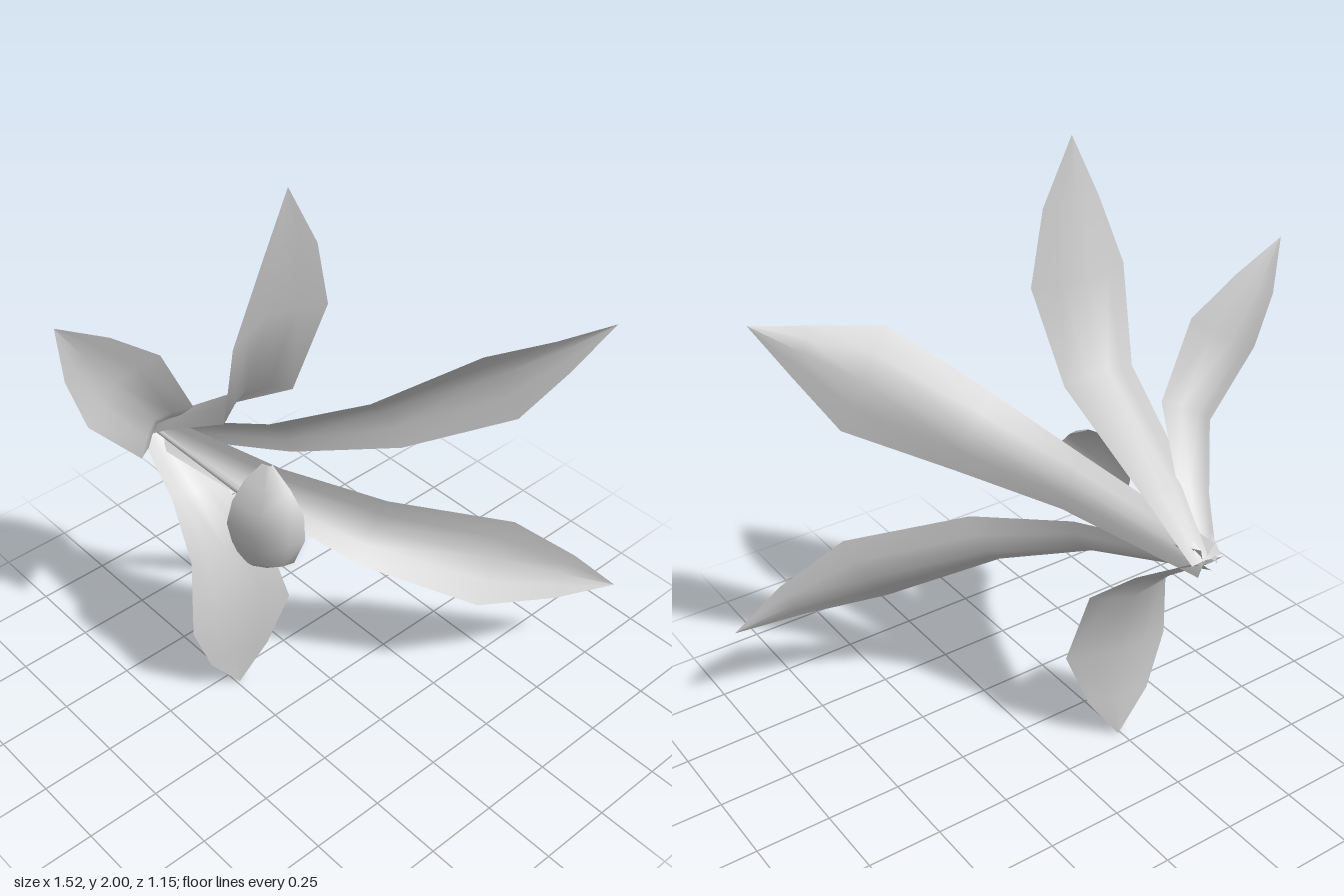
import * as THREE from 'three';

const grey = new THREE.MeshStandardMaterial({ color: 0xcccccc, side: THREE.DoubleSide });
grey.name = 'pale grey';

// Smooth surface through rows of points, all rows of equal length
function sheet(rows) {
  const n = rows[0].length, index = [];
  for (let i = 0; i < rows.length - 1; i++) {
    for (let j = 0; j < n - 1; j++) {
      const a = i * n + j;
      index.push(a, a + 1, a + n, a + 1, a + n + 1, a + n);
    }
  }
  const g = new THREE.BufferGeometry().setFromPoints(rows.flat());
  g.setIndex(index);
  g.computeVertexNormals();
  return g;
}

// Cupped petal: path between its edges, direction across it, width scale,
// half width just before the tip, and cup scale
function petal(path, across, scale, tipWidth, cupScale) {
  const widths = [0.055, 0.084, 0.128, 0.17, tipWidth, 0];
  const cups = [0.02, 0.036, 0.062, 0.056, 0.025, 0];
  const pts = path.map(p => new THREE.Vector3(...p));
  const side = new THREE.Vector3(...across).normalize();
  const rows = pts.map((p, i) => {
    const tangent = pts[Math.min(i + 1, 5)].clone().sub(pts[Math.max(i - 1, 0)]);
    const out = tangent.cross(side).normalize();
    return [-1, -0.5, 0, 0.5, 1].map(u => p.clone()
      .addScaledVector(side, u * widths[i] * scale)
      .addScaledVector(out, cups[i] * cupScale * (1 - Math.abs(u) ** 1.3)));
  });
  return sheet(rows);
}

// All petals cross at the base of the flower
const BASE = [-0.25, 0.89, -0.56];
const PETALS = {
  topPetal: [[BASE, [-0.25, 1.03, -0.38], [-0.25, 1.27, -0.03],
    [-0.228, 1.575, 0.053], [-0.213, 1.8, 0.073], [-0.21, 2, 0.07]], [1, 0, 0], 1, 0.1, 1],
  upperRightPetal: [[BASE, [-0.335, 1.02, -0.39], [-0.445, 1.17, -0.215],
    [-0.585, 1.39, -0.205], [-0.68, 1.53, -0.222], [-0.765, 1.665, -0.23]], [0.85, 0.52, 0.1], 0.83, 0.103, 0.9],
  upperLeftPetal: [[BASE, [-0.08, 1.005, -0.14], [0.1, 1.115, 0.137],
    [0.335, 1.265, 0.372], [0.485, 1.36, 0.47], [0.62, 1.45, 0.545]], [0.5, -0.86, 0], 1.04, 0.08, 0.9],
  lowerLeftPetal: [[BASE, [-0.11, 0.81, -0.15], [0.06, 0.715, 0.137],
    [0.36, 0.575, 0.388], [0.575, 0.468, 0.505], [0.755, 0.37, 0.575]], [-0.48, -0.87, 0], 0.9, 0.088, 0.9],
  bottomPetal: [[BASE, [-0.245, 0.75, -0.37], [-0.245, 0.6, -0.215],
    [-0.245, 0.345, -0.163], [-0.245, 0.15, -0.185], [-0.24, 0, -0.2]], [-1, 0, -0.19], 1.05, 0.102, 0.55],
};

export function createModel() {
  const group = new THREE.Group();
  const add = (name, geometry) => {
    const m = new THREE.Mesh(geometry, grey);
    m.name = name;
    group.add(m);
    return m;
  };

  for (const [name, args] of Object.entries(PETALS)) add(name, petal(...args));

  // Small curled shell in front: rows of x, z sections at each height
  const shell = [
    [1.07, [-0.255, -0.02], [-0.25, -0.005], [-0.243, 0.01], [-0.235, 0.005]],
    [1.02, [-0.31, -0.04], [-0.3, 0.045], [-0.265, 0.095], [-0.235, 0.09]],
    [0.96, [-0.348, -0.05], [-0.335, 0.06], [-0.285, 0.14], [-0.235, 0.145]],
    [0.88, [-0.367, -0.057], [-0.353, 0.06], [-0.3, 0.15], [-0.245, 0.16]],
    [0.79, [-0.345, -0.065], [-0.338, 0.05], [-0.305, 0.125], [-0.268, 0.135]],
    [0.74, [-0.328, -0.065], [-0.325, 0.01], [-0.31, 0.055], [-0.285, 0.06]],
    [0.695, [-0.307, -0.05], [-0.307, -0.035], [-0.304, -0.02], [-0.3, -0.015]],
  ];
  add('curledShell', sheet(shell.map(([y, ...s]) => s.map(([x, z]) => new THREE.Vector3(x, y, z)))));

  // Slender stalk along the middle
  const stalk = add('stamen', new THREE.CylinderGeometry(0.011, 0.008, 0.6, 8).rotateX(Math.PI / 2));
  stalk.position.set(-0.25, 0.888, -0.25);

  return group;
}
